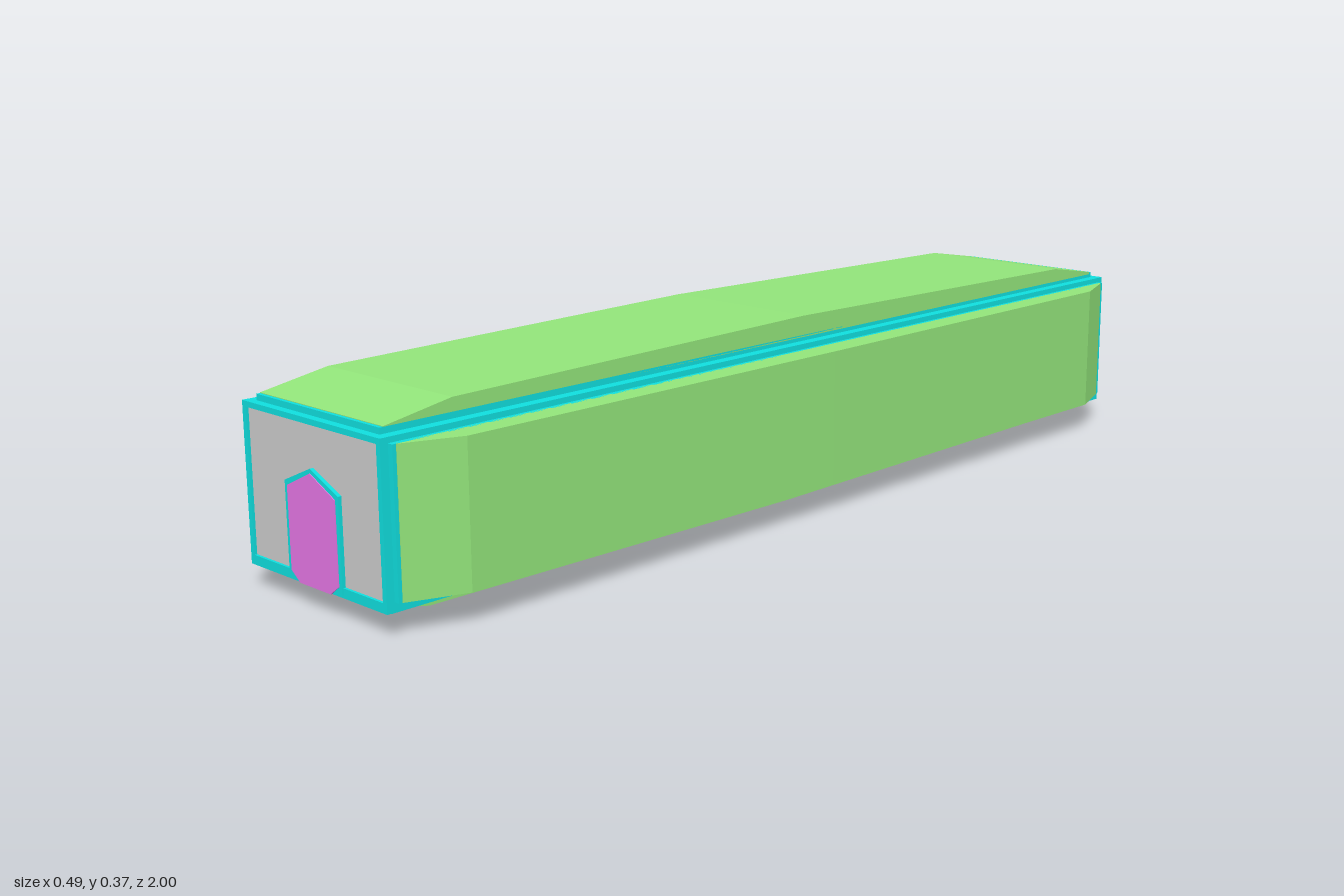
import * as THREE from 'three';

const paint = (color) => new THREE.MeshStandardMaterial({ color, flatShading: true });

// Closed outline from [x, y] points
const outline = (pts) => new THREE.Shape(pts.map(([x, y]) => new THREE.Vector2(x, y)));

const rect = (x, y0, y1) => [[-x, y0], [x, y0], [x, y1], [-x, y1]];

// Extrusion along z from z0 to z1
function prism(shape, z0, z1) {
  const g = new THREE.ExtrudeGeometry(shape, { depth: z1 - z0, bevelEnabled: false });
  return g.translate(0, 0, z0);
}

export function createModel() {
  const green = paint(0x92e47a);
  const cyan = paint(0x10dede);
  const pink = paint(0xe476e4);
  const red = paint(0xa84438);
  const grey = paint(0xcccccc);
  const model = new THREE.Group();

  const add = (parent, name, geometry, material) => {
    const m = new THREE.Mesh(geometry, material);
    m.name = name;
    parent.add(m);
    return m;
  };

  // Stepped body whose exposed edges form the long trim rails
  const half = [[0.177, 0.035], [0.177, 0.04], [0.187, 0.04], [0.187, 0.057], [0.198, 0.057],
    [0.198, 0.312], [0.187, 0.312], [0.187, 0.322], [0.167, 0.322], [0.167, 0.333]];
  const section = [...half, ...half.map(([x, y]) => [-x, y]).reverse()];
  add(model, 'trimBody', prism(outline(section), -0.982, 0.982), cyan);

  // Floor between the lower rails
  add(model, 'floor', new THREE.BoxGeometry(0.33, 0.004, 1.95).translate(0, 0.036, 0), red);

  // Bowed cladding panel: length along z, thickness along +y, tapered at the ends
  const panel = (name, width, rise, crown, taper) => {
    const s = outline([[-0.975, -0.004], [0.975, -0.004], [0.975, 0.001], [taper, rise], [0, crown], [-taper, rise], [-0.975, 0.001]]);
    const g = prism(s, -width / 2, width / 2).rotateY(Math.PI / 2);
    return add(model, name, g, green);
  };
  panel('roofPanel', 0.334, 0.024, 0.037, 0.84).position.y = 0.333;
  const bottom = panel('bottomPanel', 0.254, 0.026, 0.034, 0.87);
  bottom.rotation.z = Math.PI;
  bottom.position.y = 0.034;
  for (const side of [-1, 1]) {
    const p = panel(side > 0 ? 'leftPanel' : 'rightPanel', 0.255, 0.041, 0.046, 0.87);
    p.rotation.z = -side * Math.PI / 2;
    p.position.set(side * 0.198, 0.1845, 0);
  }

  // End wall with border and gabled door, repeated at both ends
  const door = [[-0.042, 0.04], [0.042, 0.04], [0.065, 0.057], [0.065, 0.201], [0, 0.232], [-0.065, 0.201], [-0.065, 0.057]];
  const surround = [[-0.073, 0.045], [0.073, 0.045], [0.073, 0.208], [0, 0.24], [-0.073, 0.208]];
  const border = outline(rect(0.187, 0.04, 0.322));
  border.holes.push(outline(rect(0.177, 0.057, 0.312)));
  for (const end of [1, -1]) {
    const group = new THREE.Group();
    group.name = end > 0 ? 'frontEnd' : 'backEnd';
    add(group, 'endBorder', prism(border, 0.97, 0.997), cyan);
    add(group, 'endWall', prism(outline(rect(0.178, 0.056, 0.313)), 0.97, 0.992), grey);
    add(group, 'doorSurround', prism(outline(surround), 0.98, 0.9985), cyan);
    add(group, 'door', prism(outline(door), 0.98, 1), pink);
    if (end < 0) group.rotation.y = Math.PI;
    model.add(group);
  }
  return model;
}
